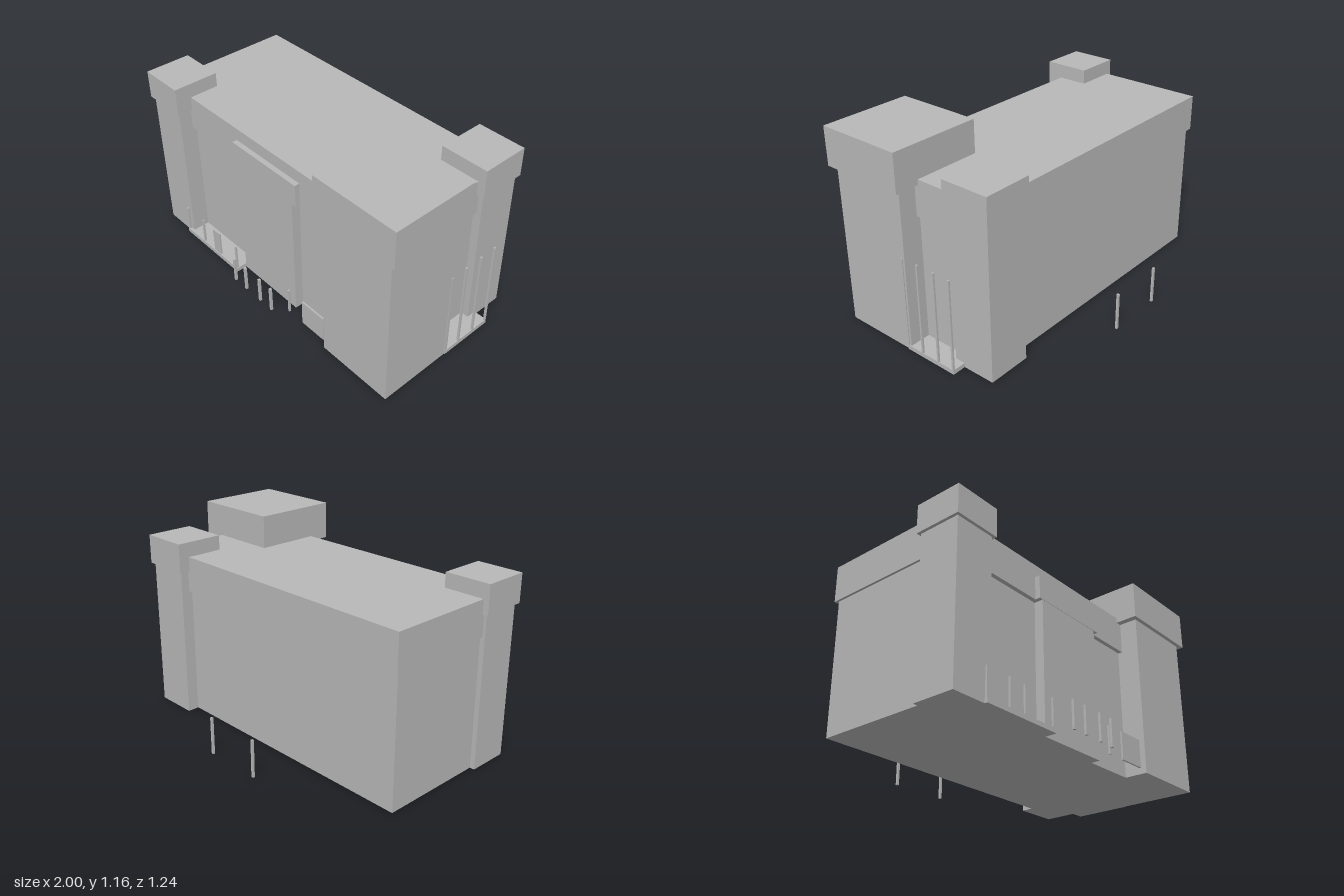
import * as THREE from 'three';

export function createModel() {
  const model = new THREE.Group();
  const stone = new THREE.MeshStandardMaterial({ color: 0xb8b8b8 });
  stone.name = 'grey stone';

  // Box given by its limits on each axis
  const box = (name, [x0, x1], [y0, y1], [z0, z1]) => {
    const mesh = new THREE.Mesh(new THREE.BoxGeometry(x1 - x0, y1 - y0, z1 - z0), stone);
    mesh.position.set((x0 + x1) / 2, (y0 + y1) / 2, (z0 + z1) / 2);
    mesh.name = name;
    model.add(mesh);
  };
  // Square post centred on x, z
  const post = (name, x, z, y0, y1, w) =>
    box(name, [x - w / 2, x + w / 2], [y0, y1], [z - w / 2, z + w / 2]);

  // Main block and overhanging roof slab
  box('mainBlock', [-0.955, 0.84], [0, 0.76], [-0.335, 0.435]);
  box('roofSlab', [-0.968, 0.86], [0.76, 0.97], [-0.355, 0.46]);

  // Corner towers with wider caps
  box('largeTower', [0.497, 0.963], [0, 0.94], [0.103, 0.567]);
  box('largeTowerCap', [0.46, 1], [0.94, 1.16], [0.078, 0.59]);
  box('frontTower', [-0.983, -0.742], [0, 0.89], [0.295, 0.538]);
  box('frontTowerCap', [-1, -0.725], [0.89, 1.055], [0.28, 0.555]);
  box('backTower', [0.63, 0.888], [0, 0.887], [-0.405, -0.152]);
  box('backTowerCap', [0.615, 0.905], [0.887, 1.057], [-0.422, -0.135]);

  // Entrance bay and its header
  box('entranceBay', [-0.285, 0.172], [0, 0.76], [0.43, 0.488]);
  box('entranceHeader', [-0.31, 0.205], [0.76, 0.895], [0.43, 0.49]);

  // Front terrace with posts and gate panel
  box('frontTerrace', [-0.782, -0.285], [0, 0.026], [0.43, 0.555]);
  for (const x of [-0.775, -0.615, -0.294]) post('terracePost', x, 0.545, 0.026, 0.185, 0.011);
  box('terracePanel', [-0.512, -0.448], [0.026, 0.185], [0.54, 0.55]);

  // Free panel and posts before the entrance
  box('frontPanel', [0.3, 0.472], [0.026, 0.185], [0.54, 0.55]);
  post('panelPost', 0.185, 0.545, 0.026, 0.185, 0.011);
  for (const x of [-0.217, -0.118, 0.008, 0.107]) post('entrancePost', x, 0.612, 0.026, 0.185, 0.014);

  // Side porch with tall columns
  box('sidePorch', [0.83, 0.968], [0, 0.026], [-0.212, 0.125]);
  for (const z of [0.121, 0.015, -0.1, -0.206]) post('porchColumn', 0.963, z, 0.026, 0.56, 0.011);

  // Posts behind the building
  for (const x of [-0.226, 0.116]) post('backPost', x, -0.614, 0, 0.222, 0.013);

  return model;
}
